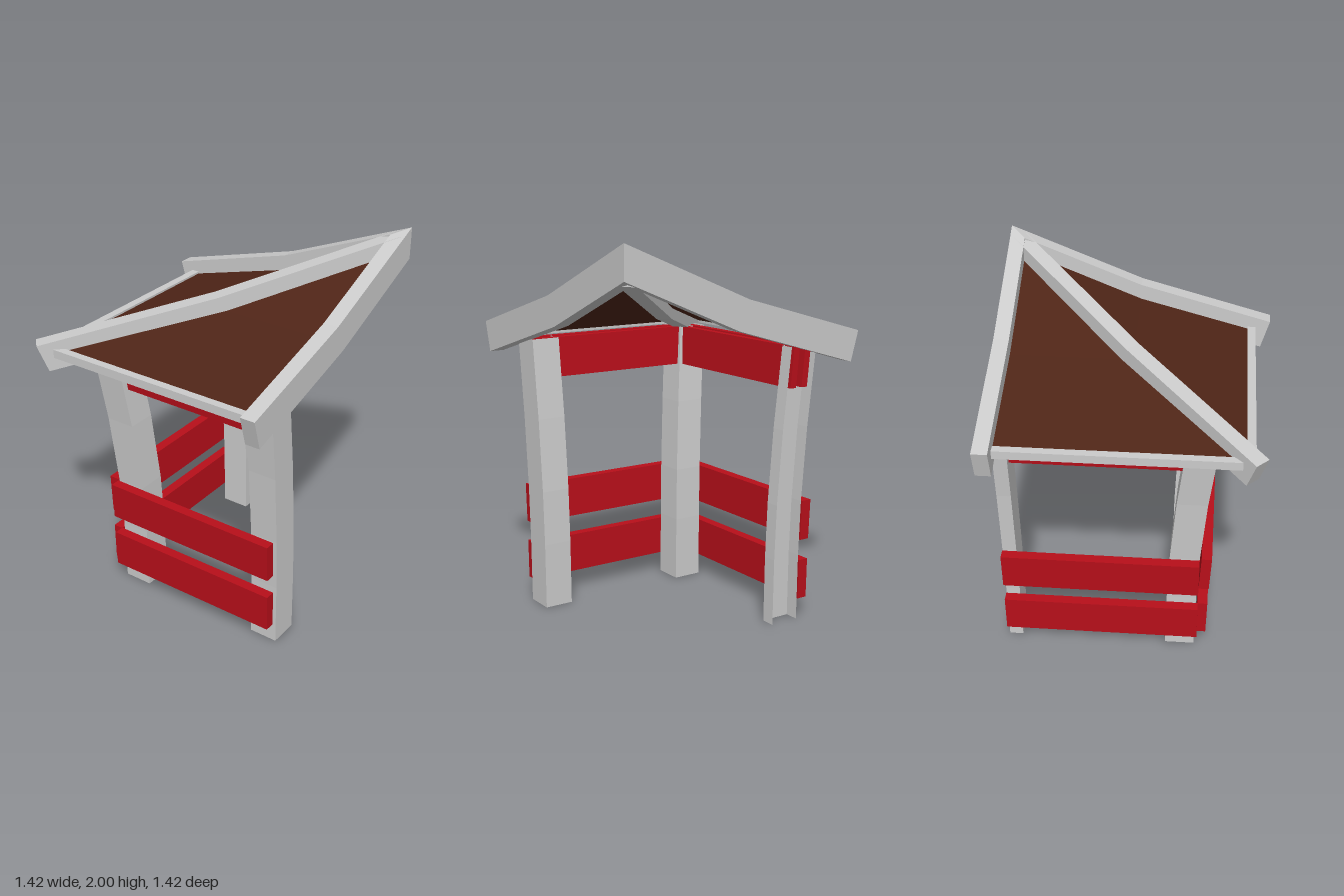
import * as THREE from 'three';

const mat = (color) => new THREE.MeshStandardMaterial({ color, flatShading: true, side: THREE.DoubleSide });
const GREY = mat(0xcccccc), RED = mat(0xb80f1a), BROWN = mat(0x4f2517);

// Swaps the front side with the left-hand side, across the hip diagonal
const mirror = ([x, y, z]) => [-z, y, -x];
const same = (p) => p;

// Skins four-cornered rings into a solid; optional caps and omitted sides
function loft(name, material, rings, { caps = true, skip = [], map = same } = {}) {
  const pts = rings.map((r) => r.map((p) => new THREE.Vector3(...map(p))));
  const tris = [];
  const quad = (a, b, c, d) => tris.push([a, b, c], [a, c, d]);
  for (let i = 0; i < pts.length - 1; i++) {
    for (let j = 0; j < 4; j++) {
      if (skip.includes(j)) continue;
      const k = (j + 1) % 4;
      quad(pts[i][j], pts[i][k], pts[i + 1][k], pts[i + 1][j]);
    }
  }
  if (caps) {
    quad(...[...pts[0]].reverse());
    quad(...pts[pts.length - 1]);
  }
  // Turn the faces outward
  const all = pts.flat();
  const mid = all.reduce((s, p) => s.add(p), new THREE.Vector3()).divideScalar(all.length);
  const rel = (p) => p.clone().sub(mid);
  const volume = tris.reduce((s, [a, b, c]) => s + rel(a).dot(rel(b).cross(rel(c))), 0);
  if (volume < 0) tris.forEach((t) => t.reverse());
  const geo = new THREE.BufferGeometry().setFromPoints(tris.flat());
  geo.computeVertexNormals();
  const mesh = new THREE.Mesh(geo, material);
  mesh.name = name;
  return mesh;
}

// Upright post leaning outward along a gentle curve; sx, sz give the lean direction
const LEAN = [[0, 0], [0.35, 0.004], [0.64, 0.015], [1.03, 0.045], [1.45, 0.092]];
function post(name, x0, x1, z0, z1, sx, sz, skip = []) {
  const rings = LEAN.map(([y, d]) => {
    const dx = d * sx, dz = d * sz;
    return [[x0 + dx, y, z0 + dz], [x1 + dx, y, z0 + dz], [x1 + dx, y, z1 + dz], [x0 + dx, y, z1 + dz]];
  });
  return loft(name, GREY, rings, { caps: false, skip });
}

// Board along x; zb and zt are the inner depth at its bottom and top edge
function board(name, material, x0, x1, y0, y1, zb, zt, thick, map) {
  const ring = (x) => [[x, y0, zb], [x, y0, zb + thick], [x, y1, zt + thick], [x, y1, zt]];
  return loft(name, material, [ring(x0), ring(x1)], { map });
}

// Rafter running along z, mitred at the peak
function rafter(name, map) {
  const ring = (zt, yt, zb, yb) => [[0.63, yt, zt], [0.71, yt, zt], [0.71, yb, zb], [0.63, yb, zb]];
  const peak = [[0.63, 1.967, -0.63], [0.71, 2, -0.71], [0.71, 1.83, -0.71], [0.63, 1.797, -0.63]];
  return loft(name, GREY, [peak, ring(0, 1.71, -0.06, 1.56), ring(0.71, 1.51, 0.665, 1.35)], { map });
}

// Diagonal hip beam from the peak to the outer corner
function hip() {
  const w = 0.03;
  const ring = (st, yt, sb, yb) => [
    [-st - w, yt, st - w], [-st + w, yt, st + w], [-sb + w, yb, sb + w], [-sb - w, yb, sb - w],
  ];
  return loft('hipBeam', GREY, [
    ring(-0.66, 1.968, -0.66, 1.80), ring(0, 1.70, -0.04, 1.55), ring(0.66, 1.50, 0.62, 1.355),
  ]);
}

// Roof slope between hip and rafter, kinked halfway
function roofPanel(name, map) {
  const t = 0.02;
  const ring = (z, y) => [[-z, y, z], [0.64, y, z], [0.64, y - t, z], [-z, y - t, z]];
  return loft(name, BROWN, [ring(-0.64, 1.89), ring(0, 1.625), ring(0.6, 1.46)], { map });
}

export function createModel() {
  const g = new THREE.Group();
  g.name = 'shelterCorner';

  // Posts: the corner one leans both ways, the back one is halved and open behind
  g.add(post('cornerPost', -0.37, -0.21, 0.21, 0.37, -1, 1));
  g.add(post('frontPost', 0.485, 0.64, 0.21, 0.37, 0, 1));
  g.add(post('backPost', -0.37, -0.21, -0.67, -0.595, -1, 0, [0]));

  // Matching front and left sides
  for (const [side, map, railEnd, beamEnd] of [['front', same, 0.625, 0.6], ['left', mirror, 0.67, 0.67]]) {
    g.add(board(side + 'LowerRail', RED, -0.385, railEnd, 0.11, 0.32, 0.378, 0.382, 0.055, map));
    g.add(board(side + 'UpperRail', RED, -0.385, railEnd, 0.43, 0.64, 0.385, 0.395, 0.055, map));
    // Twin boards under the eave
    for (const z of [0.298, 0.37]) {
      g.add(board(side + 'EaveBoard', RED, -0.36, beamEnd, 1.24, 1.45, z, z + 0.02, 0.036, map));
    }
    g.add(board(side + 'EaveTrim', GREY, -0.57, 0.63, 1.43, 1.475, 0.588, 0.588, 0.044, map));
    g.add(rafter(side + 'Rafter', map));
    g.add(roofPanel(side + 'RoofPanel', map));
  }
  g.add(hip());
  return g;
}
